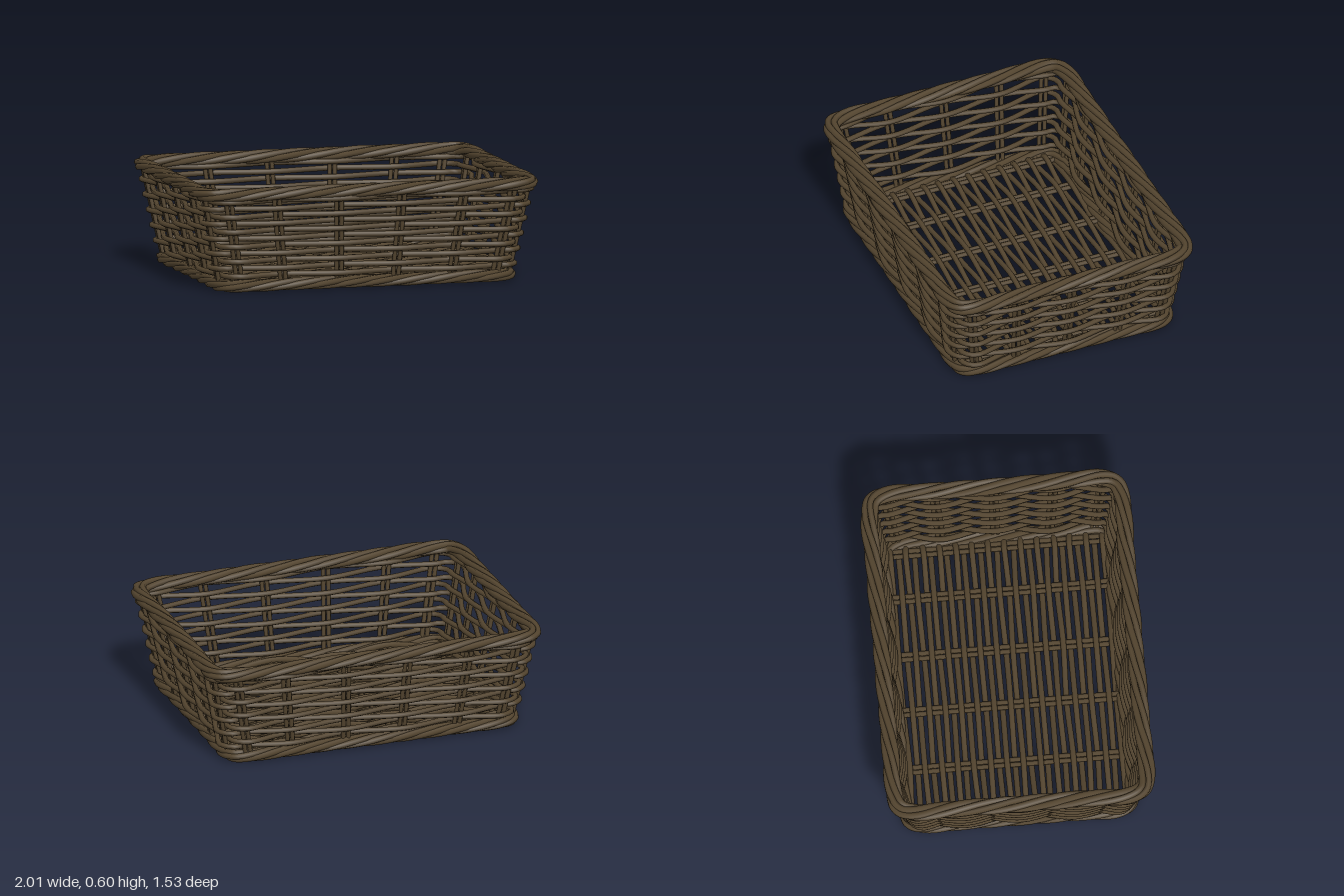
import * as THREE from 'three';
import { mergeGeometries } from 'three/addons/utils/BufferGeometryUtils.js';

const V = (x, y, z) => new THREE.Vector3(x, y, z);
const lerp = THREE.MathUtils.lerp;
const BASE_Y = 0.045, RIM_Y = 0.57;
const FRONT = [-0.88, -0.58, -0.195, 0.195, 0.58, 0.88]; // upright positions, share of half width
const SIDE = [0.87, 0.48, 0, -0.48, -0.87]; // share of half depth

// Stations around the wall at height y: uprights and the four rounded corners
function ring(y) {
  const t = (y - BASE_Y) / (RIM_Y - BASE_Y);
  const hx = lerp(0.845, 0.95, t), hz = lerp(0.638, 0.71, t);
  const out = [];
  const add = (x, z, nx, nz, stake) => out.push({ p: V(x, y, z), n: V(nx, 0, nz), stake });
  const corner = (sx, sz) => add(
    sx * hx * (0.88 + 0.12 * 0.72), sz * hz * (0.87 + 0.13 * 0.72),
    sx * Math.SQRT1_2, sz * Math.SQRT1_2, false);
  FRONT.forEach(f => add(f * hx, hz, 0, 1, true));
  corner(1, 1);
  SIDE.forEach(f => add(hx, f * hz, 1, 0, true));
  corner(1, -1);
  FRONT.forEach(f => add(-f * hx, -hz, 0, -1, true));
  corner(-1, -1);
  SIDE.forEach(f => add(-hx, -f * hz, -1, 0, true));
  corner(-1, 1);
  return out;
}

// A round cane following the given points
function cane(points, radius, segments, closed = false) {
  const curve = new THREE.CatmullRomCurve3(points, closed, 'centripetal');
  return new THREE.TubeGeometry(curve, segments, radius, 6, closed);
}

// Twisted strands running around the basket
function rope(y, strands, twists, wide, tall, radius) {
  const path = new THREE.CatmullRomCurve3(ring(y).map(s => s.p), true, 'centripetal');
  path.arcLengthDivisions = 600;
  const count = 160, parts = [];
  for (let k = 0; k < strands; k++) {
    const pts = [];
    for (let i = 0; i < count; i++) {
      const u = i / count;
      const tan = path.getTangentAt(u);
      const side = V(-tan.z, 0, tan.x).normalize();
      const a = Math.PI * 2 * (k / strands + twists * u);
      const p = path.getPointAt(u).addScaledVector(side, Math.cos(a) * wide);
      p.y += Math.sin(a) * tall;
      pts.push(p);
    }
    parts.push(cane(pts, radius, 340, true));
  }
  return mergeGeometries(parts);
}

// Horizontal canes woven in and out of the uprights
function wallWeave() {
  const rows = [];
  for (let r = 0; r < 11; r++) {
    let k = r;
    const pts = ring(0.1 + r * 0.043).map(s => {
      const offset = s.stake ? (k++ % 2 ? -0.026 : 0.026) : 0;
      return s.p.clone().addScaledVector(s.n, offset);
    });
    rows.push(cane(pts, 0.016, 200, true));
  }
  return mergeGeometries(rows);
}

// Paired uprights between the base rope and the rim
function uprights() {
  const low = ring(BASE_Y), high = ring(RIM_Y), parts = [];
  low.forEach((s, i) => {
    if (!s.stake) return;
    for (const d of [-0.015, 0.015]) {
      const shift = V(s.n.z * d, 0, -s.n.x * d);
      const line = new THREE.LineCurve3(s.p.clone().add(shift), high[i].p.clone().add(shift));
      parts.push(new THREE.TubeGeometry(line, 1, 0.013, 6));
    }
  });
  return mergeGeometries(parts);
}

const FLOOR_X = [-0.78, -0.51, -0.165, 0.165, 0.51, 0.78];

// Floor canes woven over and under the floor ribs
function floorWeave() {
  let seed = 7;
  const jitter = () => {
    seed = (seed * 16807) % 2147483647;
    return (seed / 2147483647 - 0.5) * 0.01;
  };
  const rows = [];
  for (let r = 0; r < 27; r++) {
    const z = -0.598 + r * 0.046;
    const pts = [V(-0.82, BASE_Y, z)];
    FLOOR_X.forEach((x, i) =>
      pts.push(V(x, BASE_Y + ((r + i) % 2 ? 0.02 : -0.02), z + jitter())));
    pts.push(V(0.82, BASE_Y, z));
    rows.push(cane(pts, 0.0165, 48));
  }
  return mergeGeometries(rows);
}

// Paired ribs running from front to back under the floor weave
function floorRibs() {
  const parts = [];
  for (const x of FLOOR_X) for (const d of [-0.015, 0.015]) {
    const line = new THREE.LineCurve3(V(x + d, BASE_Y, -0.64), V(x + d, BASE_Y, 0.64));
    parts.push(new THREE.TubeGeometry(line, 1, 0.014, 6));
  }
  return mergeGeometries(parts);
}

export function createModel() {
  const basket = new THREE.Group();
  basket.name = 'wickerBasket';
  const wicker = new THREE.MeshStandardMaterial({ color: 0x54452f, side: THREE.DoubleSide });
  wicker.name = 'dark brown wicker';
  const add = (name, geometry) => {
    const mesh = new THREE.Mesh(geometry, wicker);
    mesh.name = name;
    basket.add(mesh);
  };
  add('rimRope', rope(RIM_Y, 5, 7, 0.031, 0.021, 0.019));
  add('baseRope', rope(BASE_Y, 5, 7, 0.025, 0.019, 0.018));
  add('wallWeave', wallWeave());
  add('wallUprights', uprights());
  add('floorWeave', floorWeave());
  add('floorRibs', floorRibs());
  return basket;
}
